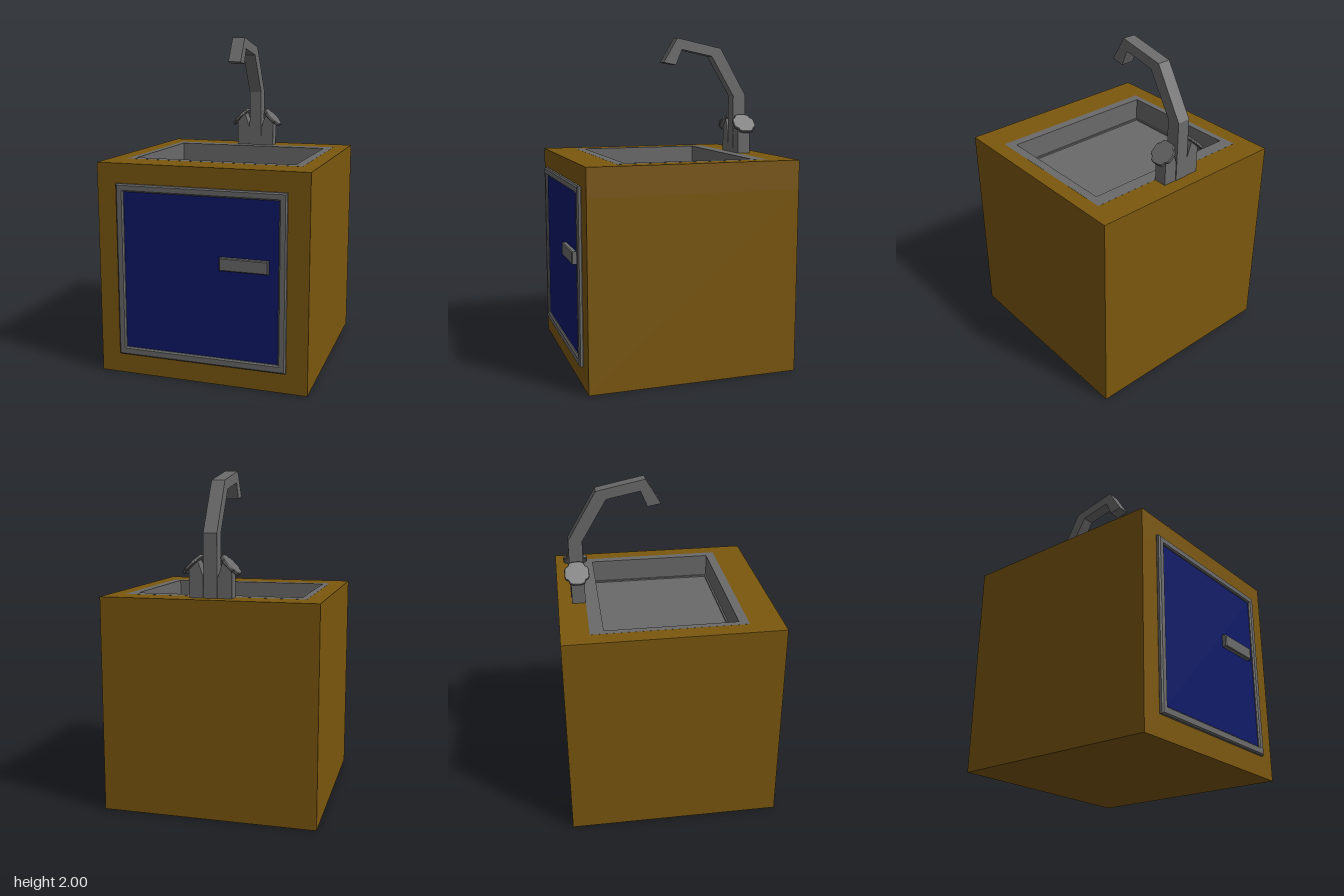
import * as THREE from 'three';

const steel = new THREE.MeshStandardMaterial({ color: 0x6a6a6a, flatShading: true });
const wood = new THREE.MeshStandardMaterial({ color: 0x7b570e, flatShading: true });
const blue = new THREE.MeshStandardMaterial({ color: 0x0e1968, flatShading: true });

const rect = (x0, y0, x1, y1) => [[x0, y0], [x1, y0], [x1, y1], [x0, y1]];
const vecs = pts => pts.map(p => new THREE.Vector2(...p));

// Extrude an outline, with an optional hole and a one-step bevel kept inside the outline
function extrude(pts, depth, hole, bevel = 0) {
  const shape = new THREE.Shape(vecs(pts));
  if (hole) shape.holes.push(new THREE.Path(vecs(hole)));
  const geo = new THREE.ExtrudeGeometry(shape, {
    depth: depth - 2 * bevel, bevelEnabled: bevel > 0, bevelThickness: bevel,
    bevelSize: bevel, bevelOffset: -bevel, bevelSegments: 1
  });
  return geo.translate(0, 0, bevel);
}

export function createModel() {
  const model = new THREE.Group();
  const add = (name, geo, mat, parent = model) => {
    const mesh = new THREE.Mesh(geo, mat);
    mesh.name = name;
    parent.add(mesh);
    return mesh;
  };
  const box = (name, [x0, y0, z0], [x1, y1, z1], mat, parent) =>
    add(name, new THREE.BoxGeometry(x1 - x0, y1 - y0, z1 - z0)
      .translate((x0 + x1) / 2, (y0 + y1) / 2, (z0 + z1) / 2), mat, parent);
  // Horizontal ring: outlines are given as x and -z
  const ring = (name, outer, hole, y0, y1, mat) =>
    add(name, extrude(outer, y1 - y0, hole).rotateX(-Math.PI / 2).translate(0, y0, 0), mat);

  // Cabinet: solid lower body and a top ring around the sink
  const top = 1.28, floor = 1.13;
  const sinkOuter = rect(-0.535, -0.42, 0.545, 0.49);
  const sinkInner = rect(-0.497, -0.365, 0.493, 0.41);
  box('cabinetBody', [-0.637, 0, -0.655], [0.637, floor - 0.02, 0.617], wood);
  ring('countertop', rect(-0.637, -0.617, 0.637, 0.655), sinkOuter, floor - 0.02, top, wood);

  // Sink: rim with walls, a low step around the bottom, and a floor
  ring('sinkWalls', sinkOuter, sinkInner, floor - 0.02, top + 0.0005, steel);
  ring('sinkStep', sinkInner, rect(-0.487, -0.355, 0.483, 0.4), floor, floor + 0.01, steel);
  box('sinkFloor', [-0.5, floor - 0.02, -0.42], [0.5, floor, 0.37], steel);

  // Door: bevelled frame, panel and handle
  const door = new THREE.Group();
  door.name = 'door';
  model.add(door);
  add('doorFrame', extrude(rect(-0.512, 0.124, 0.512, 1.163), 0.03,
    rect(-0.467, 0.172, 0.467, 1.118), 0.008).translate(0, 0, 0.612), steel, door);
  box('doorPanel', [-0.485, 0.15, 0.61], [0.485, 1.14, 0.628], blue, door);
  add('doorHandle', extrude(rect(0.125, 0.7, 0.41, 0.775), 0.035, null, 0.005)
    .translate(0, 0, 0.62), steel, door);

  // Faucet spout: side outline (z, y) swept across its width
  const faucet = new THREE.Group();
  faucet.name = 'faucet';
  model.add(faucet);
  const spout = [[-0.573, top], [-0.573, 1.645], [-0.4, 1.94], [-0.11, 2], [-0.02, 1.85],
    [-0.1, 1.835], [-0.14, 1.93], [-0.34, 1.89], [-0.49, 1.64], [-0.49, top]];
  add('spout', extrude(spout, 0.08).translate(0, 0, -0.04).rotateY(-Math.PI / 2), steel, faucet);

  // Valves: slanted post with a tilted, four-lobed knob, mirrored
  const post = [[0.043, top], [0.125, top], [0.125, 1.44], [0.075, 1.495], [0.043, 1.4]];
  const quarter = [[0.073, 0.022], [0.065, 0.044], [0.045, 0.052], [0.038, 0.066], [0.022, 0.073]];
  const flip = (sx, sy) => quarter.map(([x, y]) => [sx * x, sy * y]);
  const knob = [...flip(1, 1), ...flip(-1, 1).reverse(), ...flip(-1, -1), ...flip(1, -1).reverse()];
  for (const side of [1, -1]) {
    const valve = new THREE.Group();
    valve.name = side > 0 ? 'leftValve' : 'rightValve';
    faucet.add(valve);
    add('valvePost', extrude(post.map(([x, y]) => [side * x, y]), 0.08)
      .translate(0, 0, -0.57), steel, valve);
    const head = add('valveKnob', extrude(knob, 0.02, null, 0.004)
      .translate(0, 0, -0.01).rotateX(-Math.PI / 2), steel, valve);
    head.rotation.z = -side * Math.PI / 4;
    head.position.set(side * 0.11, 1.467, -0.533);
  }
  return model;
}
